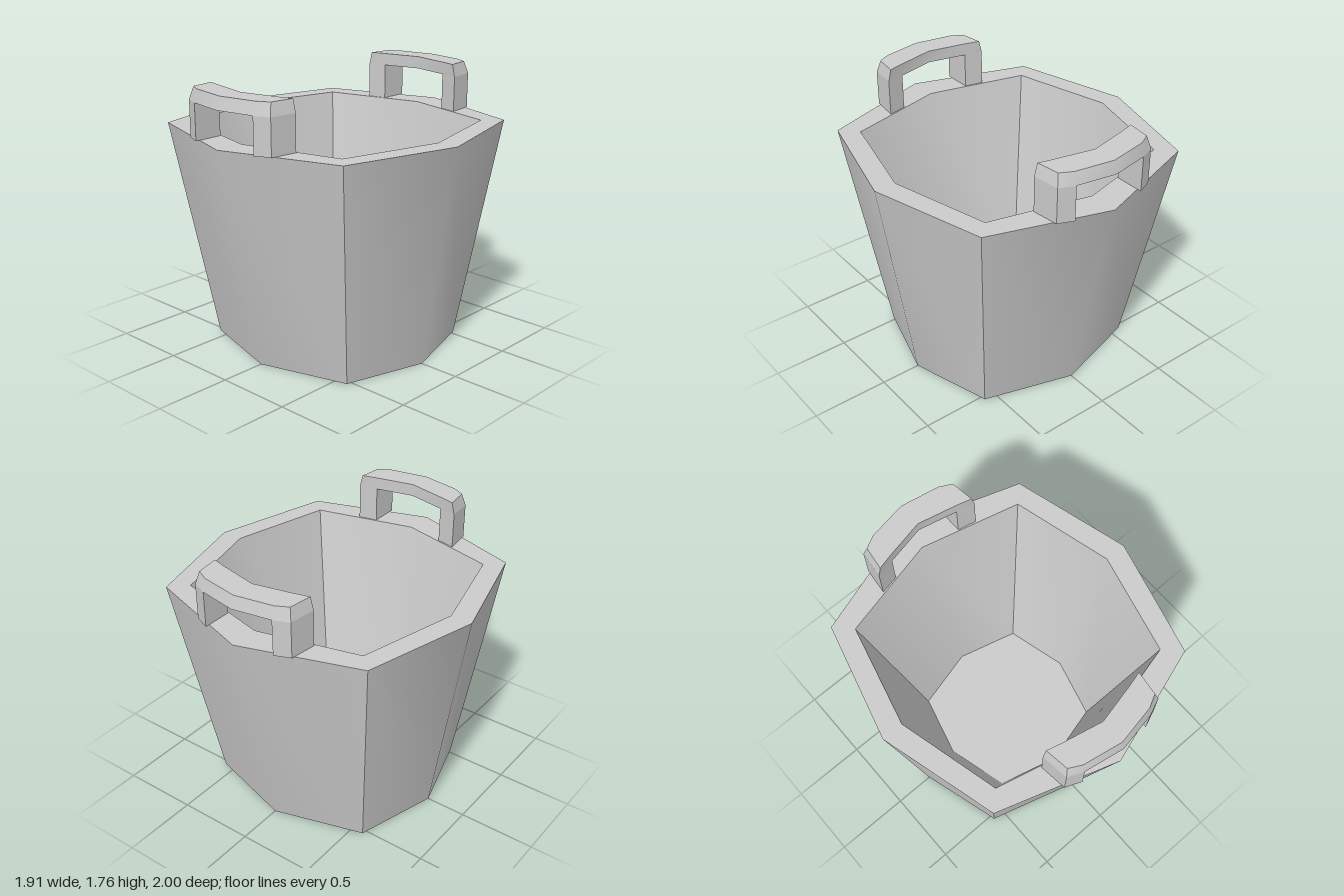
import * as THREE from 'three';
import { toCreasedNormals } from 'three/addons/utils/BufferGeometryUtils.js';

const RIM = 1.45;
const grey = new THREE.MeshStandardMaterial({ color: 0xcccccc });

// Eight-point ring: bowed square with corners (cx, cz) and side middles mx, mz
const ring = (y, cx, cz, mx, mz) => [
  [0, y, mz], [cx, y, cz], [mx, y, 0], [cx, y, -cz],
  [0, y, -mz], [-cx, y, -cz], [-mx, y, 0], [-cx, y, cz],
];

// Skin from the underside, up the outside, over the rim and down to the inner floor
function bucketGeometry() {
  const rings = [
    ring(0, 0, 0, 0, 0),
    ring(0, 0.58, 0.53, 0.735, 0.7),
    ring(RIM, 0.755, 0.755, 0.957, 1.0),
    ring(RIM, 0.65, 0.65, 0.815, 0.81),
    ring(0.15, 0.4, 0.4, 0.505, 0.505),
    ring(0.15, 0, 0, 0, 0),
  ];
  const index = [];
  for (let r = 0; r < rings.length - 1; r++) {
    for (let i = 0; i < 8; i++) {
      const j = (i + 1) % 8;
      const a = r * 8 + i, b = r * 8 + j, c = b + 8, d = a + 8;
      if (r > 0) index.push(a, b, d);
      if (r < rings.length - 2) index.push(b, c, d);
      if (r === 0) index.splice(-3, 3, a, c, d);
    }
  }
  const g = new THREE.BufferGeometry();
  g.setAttribute('position', new THREE.Float32BufferAttribute(rings.flat(2), 3));
  g.setIndex(index);
  return toCreasedNormals(g, 0.7);
}

// Box bent to follow the rim; xs are its stations, y0..y1 its height
function bentBar(xs, y0, y1, chamfer) {
  const n = xs.length - 1;
  const g = new THREE.BoxGeometry(n, 1, 1, n, 1, 1);
  const p = g.attributes.position;
  for (let i = 0; i < p.count; i++) {
    let x = xs[Math.round(p.getX(i) + n / 2)];
    const top = p.getY(i) > 0, outer = p.getZ(i) > 0;
    const ax = Math.abs(x), end = ax > 0.3;
    let z = outer ? (end ? 0.905 : 0.992 - 0.18 * ax) : 0.812 - 0.22 * ax;
    if (end) {
      const inset = (outer ? 0.02 : 0) + (chamfer && top ? 0.02 : 0);
      x -= Math.sign(x) * inset;
    }
    if (chamfer && top && outer) z -= 0.022;
    p.setXYZ(i, x, top ? y1 : y0, z);
  }
  return toCreasedNormals(g, 0.5);
}

// Two legs joined by a curved grip
function handle(name) {
  const group = new THREE.Group();
  group.name = name;
  const add = (part, geometry) => {
    const m = new THREE.Mesh(geometry, grey);
    m.name = part;
    group.add(m);
  };
  add('leftLeg', bentBar([0.25, 0.37], RIM, 1.68, false));
  add('rightLeg', bentBar([-0.37, -0.25], RIM, 1.68, false));
  add('grip', bentBar([-0.37, -0.25, 0, 0.25, 0.37], 1.68, 1.76, true));
  return group;
}

export function createModel() {
  const model = new THREE.Group();
  model.name = 'bucket';

  const body = new THREE.Mesh(bucketGeometry(), grey);
  body.name = 'bucketBody';
  model.add(body);

  const front = handle('frontHandle');
  const back = handle('backHandle');
  back.rotation.y = Math.PI;
  model.add(front, back);
  return model;
}
